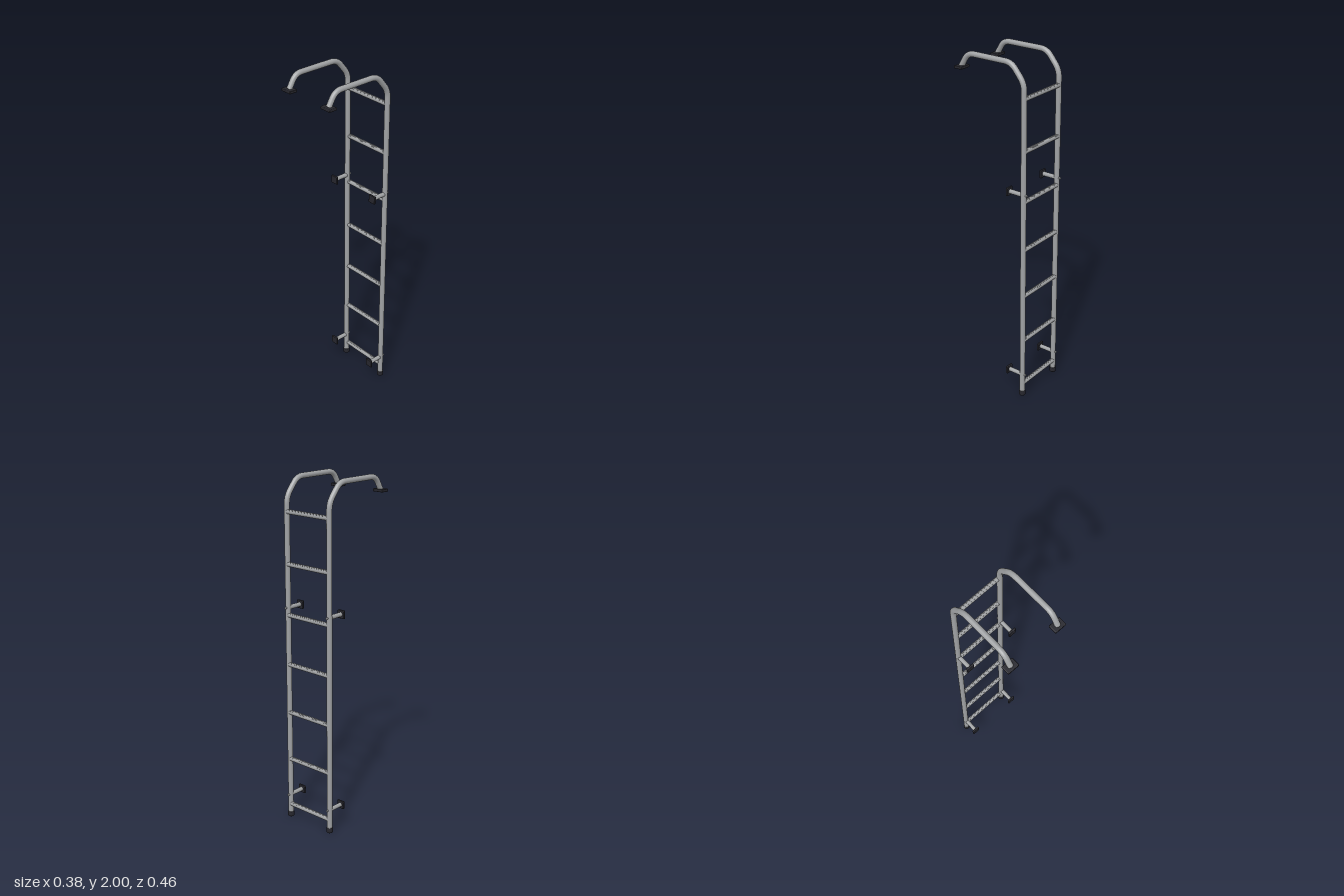
import * as THREE from 'three';
import { RoundedBoxGeometry } from 'three/addons/geometries/RoundedBoxGeometry.js';

const RAIL_X = 0.154, RAIL_Z = -0.206, RAIL_R = 0.0155;

// Rail centre line: straight runs joined by rounded bends
function railPath(x) {
  const pts = [[0.01, RAIL_Z], [1.885, RAIL_Z], [1.984, -0.125], [1.984, 0.16], [1.91, 0.203]]
    .map(([y, z]) => new THREE.Vector3(x, y, z));
  const path = new THREE.CurvePath();
  let from = pts[0];
  for (let i = 1; i < pts.length - 1; i++) {
    const p = pts[i];
    const toward = (q) => p.clone().add(q.clone().sub(p).setLength(0.04));
    const a = toward(pts[i - 1]), b = toward(pts[i + 1]);
    path.add(new THREE.LineCurve3(from, a));
    path.add(new THREE.QuadraticBezierCurve3(a, p, b));
    from = b;
  }
  path.add(new THREE.LineCurve3(from, pts[pts.length - 1]));
  return path;
}

export function createModel() {
  const metal = new THREE.MeshStandardMaterial({ color: 0x9fa1a3 });
  metal.name = 'brushed metal';
  const rubber = new THREE.MeshStandardMaterial({ color: 0x26262d });
  rubber.name = 'dark rubber';

  const model = new THREE.Group();
  model.name = 'ladder';
  const add = (name, geometry, material, x, y, z, parent = model) => {
    const mesh = new THREE.Mesh(geometry, material);
    mesh.name = name;
    mesh.position.set(x, y, z);
    parent.add(mesh);
    return mesh;
  };

  const footGeo = new THREE.LatheGeometry(
    [[0, 0], [0.016, 0], [0.0185, 0.003], [0.0185, 0.028], [0.0165, 0.031], [0.0145, 0.031]]
      .map(([r, y]) => new THREE.Vector2(r, y)), 24);
  const hookPadGeo = new RoundedBoxGeometry(0.07, 0.016, 0.05, 2, 0.004);
  const wallPadGeo = new RoundedBoxGeometry(0.047, 0.047, 0.013, 2, 0.004);
  const stemGeo = new THREE.CylinderGeometry(0.0125, 0.0125, 0.09, 20).rotateX(Math.PI / 2);
  const boltGeo = new THREE.CylinderGeometry(0.006, 0.006, 0.012, 12).rotateX(Math.PI / 2);

  for (const [side, s] of [['left', 1], ['right', -1]]) {
    const x = s * RAIL_X;
    // Hooked side rail with its foot and roof pad
    add(side + 'Rail', new THREE.TubeGeometry(railPath(x), 160, RAIL_R, 20), metal, 0, 0, 0);
    add(side + 'Foot', footGeo, rubber, x, 0, RAIL_Z);
    add(side + 'HookPad', hookPadGeo, rubber, x, 1.905, 0.203);

    // Standoffs: stem, wall pad and the bolt through the rail
    for (const [level, y] of [['Lower', 0.14], ['Upper', 1.272]]) {
      const standoff = new THREE.Group();
      standoff.name = side + level + 'Standoff';
      model.add(standoff);
      add('stem', stemGeo, metal, x, y, -0.16, standoff);
      add('wallPad', wallPadGeo, rubber, x, y, -0.11, standoff);
      add('bolt', boltGeo, metal, x, y, -0.224, standoff);
    }
  }

  // Seven rungs with raised grip ribs along the top
  const rungGeo = new THREE.CylinderGeometry(0.0125, 0.0125, 2 * RAIL_X, 20).rotateZ(Math.PI / 2);
  const ribGeo = new THREE.BoxGeometry(0.27, 0.002, 0.0025);
  for (let i = 0; i < 7; i++) {
    const rung = new THREE.Group();
    rung.name = 'rung' + (i + 1);
    rung.position.set(0, 0.08 + i * 0.2875, -0.209);
    model.add(rung);
    add('bar', rungGeo, metal, 0, 0, 0, rung);
    for (const angle of [-0.75, -0.25, 0.25, 0.75]) {
      const rib = add('gripRib', ribGeo, metal, 0, 0.0127 * Math.cos(angle), 0.0127 * Math.sin(angle), rung);
      rib.rotation.x = angle;
    }
  }

  return model;
}
